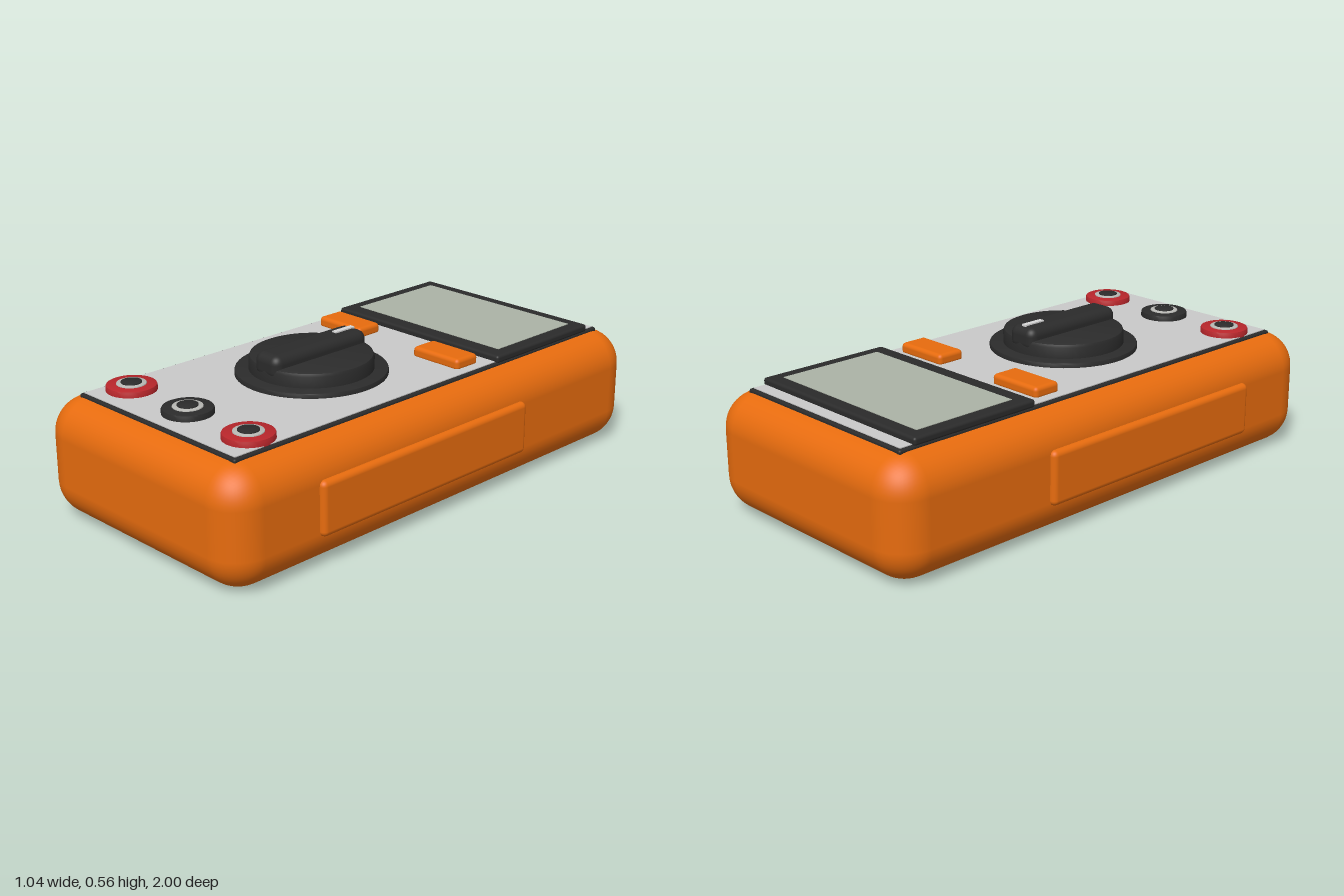
import * as THREE from 'three';
import { RoundedBoxGeometry } from 'three/addons/geometries/RoundedBoxGeometry.js';
import { toCreasedNormals } from 'three/addons/utils/BufferGeometryUtils.js';

const mat = (name, color) => new THREE.MeshStandardMaterial({ name, color });

export function createModel() {
  const orange = mat('orange shell', 0xe86c0e);
  const dark = mat('charcoal plastic', 0x2b2b2b);
  const grey = mat('light grey face', 0xcacaca);
  const glass = mat('display green grey', 0xacb3a6);
  const red = mat('red socket', 0xb8262b);
  const silver = mat('socket metal', 0xb8b8b4);
  const white = mat('pointer white', 0xd8d8d8);

  const model = new THREE.Group();
  model.name = 'multimeter';

  function add(name, geometry, material, x = 0, y = 0, z = 0, parent = model) {
    const mesh = new THREE.Mesh(geometry, material);
    mesh.name = name;
    mesh.position.set(x, y, z);
    parent.add(mesh);
    return mesh;
  }

  // Rounded block given by its limits on each axis
  function block(name, material, [x0, x1], [y0, y1], [z0, z1], radius, segments = 3, parent = model) {
    const geometry = radius
      ? new RoundedBoxGeometry(x1 - x0, y1 - y0, z1 - z0, segments, radius)
      : new THREE.BoxGeometry(x1 - x0, y1 - y0, z1 - z0);
    return add(name, geometry, material, (x0 + x1) / 2, (y0 + y1) / 2, (z0 + z1) / 2, parent);
  }

  // Disc with a softly bevelled top edge
  function disc(radius, y0, y1, bevel) {
    const points = [[0, y0], [radius, y0], [radius, y1 - bevel],
      [radius - bevel * 0.3, y1 - bevel * 0.3], [radius - bevel, y1], [0, y1]];
    const lathe = new THREE.LatheGeometry(points.map(p => new THREE.Vector2(...p)), 48);
    return toCreasedNormals(lathe, 0.5);
  }

  // Shell and side grips
  block('body', orange, [-0.5, 0.5], [0, 0.43], [-1, 1], 0.13, 6);
  for (const [side, s] of [['left', 1], ['right', -1]]) {
    const xs = s > 0 ? [0.44, 0.52] : [-0.52, -0.44];
    block(side + 'Grip', orange, xs, [0.12, 0.315], [-0.36, 0.64], 0.02);
  }

  // Face plate with its dark border
  block('faceBorder', dark, [-0.4, 0.4], [0.415, 0.436], [-0.905, 0.9], 0.008, 2);
  block('facePlate', grey, [-0.387, 0.387], [0.43, 0.439], [-0.892, 0.887], 0);

  // Display
  block('displayFrame', dark, [-0.4, 0.4], [0.432, 0.461], [-0.845, -0.33], 0.01);
  block('displayScreen', glass, [-0.35, 0.35], [0.456, 0.463], [-0.795, -0.39], 0);

  // Push buttons
  for (const [side, s] of [['left', 1], ['right', -1]]) {
    const xs = s > 0 ? [0.135, 0.35] : [-0.35, -0.135];
    block(side + 'Button', orange, xs, [0.43, 0.474], [-0.28, -0.17], 0.015);
  }

  // Selector dial
  const dial = new THREE.Group();
  dial.name = 'selectorDial';
  dial.position.z = 0.2;
  model.add(dial);
  add('dialBase', disc(0.27, 0.435, 0.457, 0.006), dark, 0, 0, 0, dial);
  add('dialKnob', disc(0.22, 0.455, 0.511, 0.014), dark, 0, 0, 0, dial);
  block('dialHandle', dark, [-0.06, 0.06], [0.465, 0.554], [-0.22, 0.22], 0.032, 4, dial);
  block('dialPointer', white, [-0.01, 0.01], [0.551, 0.559], [-0.2, -0.11], 0, 1, dial);

  // Probe sockets
  const sockets = [['leftSocket', 0.3, red], ['centreSocket', 0, dark], ['rightSocket', -0.3, red]];
  for (const [name, x, colour] of sockets) {
    const socket = new THREE.Group();
    socket.name = name;
    socket.position.set(x, 0, 0.755);
    model.add(socket);
    add('socketCollar', disc(0.088, 0.435, 0.461, 0.007), colour, 0, 0, 0, socket);
    add('socketRing', disc(0.052, 0.456, 0.465, 0.003), silver, 0, 0, 0, socket);
    add('socketHole', disc(0.036, 0.462, 0.469, 0.001), dark, 0, 0, 0, socket);
  }
  return model;
}
